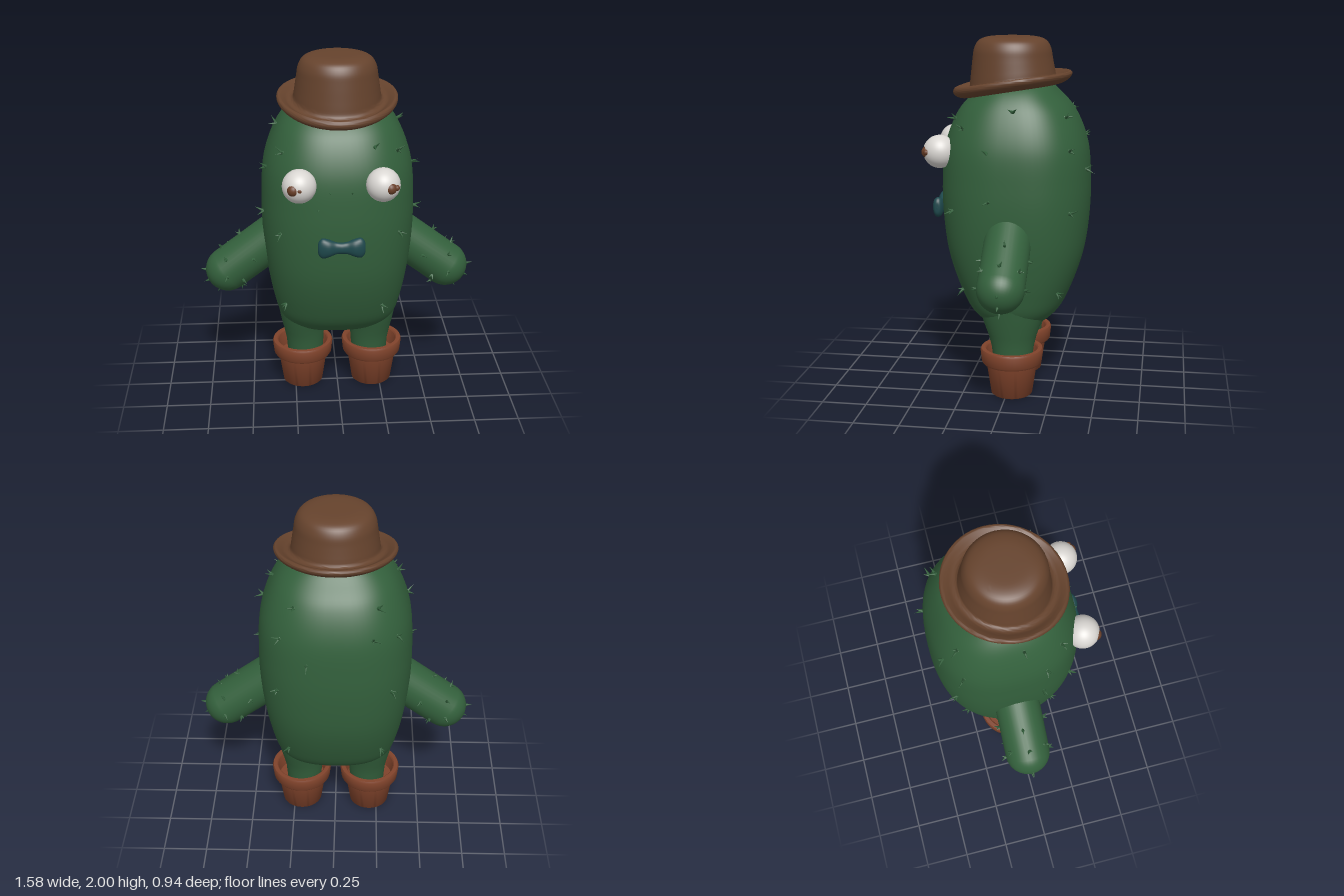
import * as THREE from 'three';
import { mergeGeometries, toCreasedNormals } from 'three/addons/utils/BufferGeometryUtils.js';

const material = (name, color) => Object.assign(new THREE.MeshStandardMaterial({ color }), { name });
const V = (x, y, z) => new THREE.Vector3(x, y, z);

// Point on a rounded-square ring; angle 0 faces +z and grows towards +x
function ringPoint({ c, rx, rz, p = 2 }, a) {
  const bend = (v) => Math.sign(v) * Math.abs(v) ** (2 / p);
  return V(c.x + rx * bend(Math.sin(a)), c.y, c.z + rz * bend(Math.cos(a)));
}

// Skin joining a list of rings from top to bottom
function loft(rings, n = 48) {
  const pos = [], idx = [];
  rings.forEach((ring, i) => {
    for (let j = 0; j < n; j++) {
      pos.push(...ringPoint(ring, (j / n) * Math.PI * 2).toArray());
      if (i === rings.length - 1) continue;
      const a = i * n + j, b = i * n + ((j + 1) % n);
      idx.push(a, a + n, b, a + n, b + n, b);
    }
  });
  const geo = new THREE.BufferGeometry();
  geo.setAttribute('position', new THREE.Float32BufferAttribute(pos, 3));
  geo.setIndex(idx);
  geo.computeVertexNormals();
  return geo;
}

// Rings sampled along a smooth profile of [half width, height, half depth]
function profileRings(keys, count, centre, p) {
  const curve = new THREE.CatmullRomCurve3(keys.map((k) => V(...k)));
  return curve.getSpacedPoints(count).map((k) => ({
    c: V(centre.x, k.y, centre.z), rx: Math.max(k.x, 0.0005), rz: Math.max(k.z, 0.0005), p,
  }));
}

function lathe(points, segments = 56) {
  return new THREE.LatheGeometry(points.map(([r, y]) => new THREE.Vector2(r, y)), segments);
}

// A tuft of thorns fanned around a surface normal
function tuft(point, normal, count, length, seed) {
  const side = V(0, 1, 0).cross(normal);
  if (side.lengthSq() < 0.01) side.set(1, 0, 0);
  side.normalize();
  return Array.from({ length: count }, (_, k) => {
    const lean = side.clone().applyAxisAngle(normal, seed * 1.7 + (k * Math.PI * 2) / count);
    const dir = normal.clone().addScaledVector(lean, count > 1 ? 0.6 : 0.15).normalize();
    const size = length * (1 - 0.15 * k);
    const cone = new THREE.ConeGeometry(0.011, size, 7);
    cone.translate(0, size / 2 - 0.012, 0);
    cone.applyQuaternion(new THREE.Quaternion().setFromUnitVectors(V(0, 1, 0), dir));
    return cone.translate(point.x, point.y, point.z);
  });
}

export function createModel() {
  const model = new THREE.Group();
  model.name = 'cactusFigure';
  const green = material('cactus green', 0x33603c);
  const brown = material('hat brown', 0x66432d);
  const clay = material('terracotta', 0x80432b);
  const white = material('eye white', 0xd9d6d2);
  const iris = material('pupil brown', 0x6a3f28);
  const teal = material('bow teal', 0x1e484c);
  const add = (name, geo, mat) => {
    const mesh = new THREE.Mesh(geo, mat);
    mesh.name = name;
    model.add(mesh);
    return mesh;
  };

  // Plump body
  const bodyRings = profileRings([
    [0, 1.8, 0], [0.12, 1.787, 0.1], [0.2, 1.755, 0.175], [0.275, 1.7, 0.232], [0.345, 1.6, 0.32],
    [0.408, 1.42, 0.392], [0.425, 1.2, 0.412], [0.422, 1.0, 0.406], [0.402, 0.8, 0.378],
    [0.367, 0.6, 0.312], [0.33, 0.48, 0.25], [0.24, 0.395, 0.15], [0.1, 0.37, 0.06], [0, 0.367, 0],
  ], 90, V(0, 0, -0.028), 2.5);
  add('body', loft(bodyRings, 72), green);

  // Thorn tufts on the body: [height, angle in degrees, thorn count]
  const spots = [
    [1.63, 92, 2], [1.63, -85, 2], [1.6, 148, 3], [1.6, -145, 3], [1.53, 50, 3], [1.53, -50, 3],
    [1.58, 25, 2], [1.43, 78, 2], [1.43, -72, 2], [1.43, 140, 3], [1.43, -130, 2], [1.45, -155, 3],
    [1.35, 5, 1], [1.35, -5, 1], [1.26, -12, 1], [1.17, 80, 2], [1.17, -75, 2], [1.08, 45, 3],
    [1.08, -45, 3], [1.08, 138, 3], [1.08, -138, 3], [0.63, 35, 3], [0.63, -50, 3], [0.63, 140, 3],
    [0.63, -140, 3], [1.3, 165, 2],
  ];
  const bodyThorns = spots.flatMap(([y, deg, count], s) => {
    const a = THREE.MathUtils.degToRad(deg);
    let i = bodyRings.findIndex((r) => r.c.y <= y);
    const around = ringPoint(bodyRings[i], a + 0.03).sub(ringPoint(bodyRings[i], a - 0.03));
    const down = ringPoint(bodyRings[i + 1], a).sub(ringPoint(bodyRings[i - 1], a));
    const normal = down.cross(around).normalize();
    return tuft(ringPoint(bodyRings[i], a), normal, count, count > 1 ? 0.066 : 0.025, s);
  });
  add('bodyThorns', mergeGeometries(bodyThorns), green);

  for (const s of [1, -1]) {
    const side = s > 0 ? 'left' : 'right';

    // Leg blending out of the body
    const legRings = [
      [0.66, 0.2, 0.172, 0.22], [0.56, 0.2, 0.154, 0.2], [0.48, 0.2, 0.14, 0.18],
      [0.41, 0.2, 0.127, 0.158], [0.35, 0.195, 0.118, 0.137], [0.28, 0.19, 0.109, 0.12],
      [0.16, 0.19, 0.1, 0.105],
    ].map(([y, x, rx, rz]) => ({ c: V(s * x, y, -0.028), rx, rz }));
    add(side + 'Leg', loft(legRings), green);

    // Flower pot foot, hollow at the top
    const pot = lathe([
      [0, 0], [0.107, 0], [0.116, 0.008], [0.143, 0.185], [0.163, 0.187], [0.17, 0.198],
      [0.177, 0.262], [0.172, 0.274], [0.15, 0.275], [0.143, 0.268], [0.135, 0.18], [0, 0.17],
    ]);
    add(side + 'Pot', toCreasedNormals(pot, 0.7), clay).position.set(s * 0.205, 0, -0.025);

    // Arm: a round-ended stub sloping down and outwards
    const start = V(s * 0.33, 0.962, -0.028), end = V(s * 0.63, 0.737, -0.028);
    const axis = end.clone().sub(start), length = axis.length();
    axis.normalize();
    const arm = new THREE.CapsuleGeometry(0.127, length, 14, 36);
    arm.applyQuaternion(new THREE.Quaternion().setFromUnitVectors(V(0, 1, 0), axis));
    const mid = start.clone().lerp(end, 0.5);
    add(side + 'Arm', arm, green).position.copy(mid);

    // Arm thorns: rows around the stub, then the tip
    const thorns = [];
    const forward = V(0, 0, 1), up = V(s * 0.6, 0.8, 0);
    [[0.5, [0, 95, 180]], [0.85, [40, 90, 140, 215, 325]], [1, [0, 180, 270]]].forEach(([t, angles], row) => {
      angles.forEach((deg, k) => {
        const a = THREE.MathUtils.degToRad(deg);
        const n = forward.clone().multiplyScalar(Math.cos(a)).addScaledVector(up, Math.sin(a)).normalize();
        const p = start.clone().lerp(end, t).addScaledVector(n, 0.127);
        thorns.push(...tuft(p, n, 2, 0.048, row * 3 + k));
      });
    });
    for (const tilt of [-0.6, 0.1, 0.75]) {
      const n = axis.clone().addScaledVector(up, tilt).normalize();
      thorns.push(...tuft(end.clone().addScaledVector(n, 0.127), n, 1, 0.045, 1));
    }
    add(side + 'ArmThorns', mergeGeometries(thorns), green);

    // Bulging eye with a pupil looking outwards
    add(side + 'Eye', new THREE.SphereGeometry(0.091, 36, 24), white).position.set(s * 0.221, 1.385, 0.37);
    add(side + 'Pupil', new THREE.SphereGeometry(0.033, 20, 14), iris).position.set(s * 0.253, 1.386, 0.432);
    add(side + 'PupilSpot', new THREE.SphereGeometry(0.016, 14, 10), iris)
      .position.set(s * 0.253 + 0.032, 1.388, s > 0 ? 0.432 : 0.448);
  }

  // Bowler hat: rolled brim, dipped at the front and raised at the back
  const hatCurve = new THREE.SplineCurve([
    [0.18, 1.73], [0.25, 1.712], [0.29, 1.715], [0.322, 1.735], [0.33, 1.757], [0.318, 1.772],
    [0.298, 1.765], [0.268, 1.75], [0.242, 1.76], [0.234, 1.8], [0.222, 1.88], [0.212, 1.935],
    [0.186, 1.977], [0.135, 1.996], [0.06, 2.0], [0, 2.0],
  ].map((p) => new THREE.Vector2(...p)));
  const hat = new THREE.LatheGeometry(hatCurve.getPoints(64).map((p) => p.set(Math.max(p.x, 0), Math.min(p.y, 2))), 64);
  const hp = hat.attributes.position;
  for (let i = 0; i < hp.count; i++) {
    const x = hp.getX(i) / 0.33, y = hp.getY(i), z = hp.getZ(i) / 0.33;
    const low = 1 - THREE.MathUtils.smoothstep(y, 1.74, 1.92);
    hp.setY(i, y + low * (-0.054 * z + 0.02 * x * x - 0.008));
  }
  add('hat', toCreasedNormals(hat, 1.2), brown);

  // Bow tie: two puffed wings pinched at the knot
  const bowRings = profileRings([
    [0, 0.127, 0], [0.036, 0.123, 0.018], [0.056, 0.104, 0.028], [0.05, 0.07, 0.033], [0.034, 0.03, 0.022],
    [0.031, 0, 0.024],
    [0.034, -0.03, 0.022], [0.05, -0.07, 0.033], [0.056, -0.104, 0.028], [0.036, -0.123, 0.018], [0, -0.127, 0],
  ], 48, V(0, 0, 0), 2.2);
  add('bowTie', loft(bowRings, 28).rotateZ(Math.PI / 2), teal).position.set(0, 1.045, 0.412);

  return model;
}
